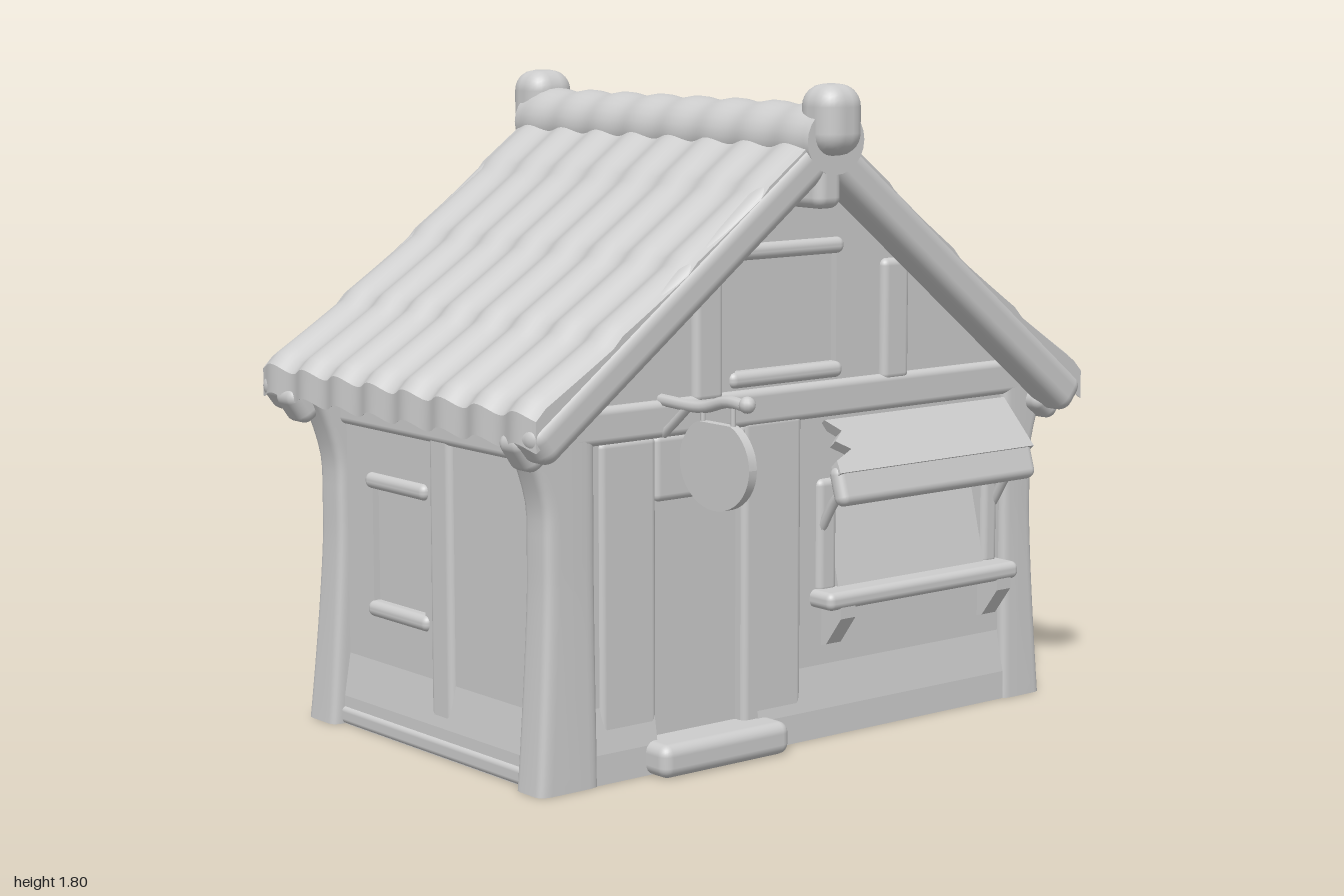
import * as THREE from 'three';
import { RoundedBoxGeometry } from 'three/addons/geometries/RoundedBoxGeometry.js';

const mat = new THREE.MeshStandardMaterial({ color: 0xcccccc, side: THREE.DoubleSide });

function add(parent, name, geometry, x = 0, y = 0, z = 0) {
  const m = new THREE.Mesh(geometry, mat);
  m.name = name;
  m.position.set(x, y, z);
  parent.add(m);
  return m;
}

// Soft-edged box given by its min and max along each axis
function block(parent, name, x0, x1, y0, y1, z0, z1, r = 0.02) {
  const w = x1 - x0, h = y1 - y0, d = z1 - z0;
  const g = new RoundedBoxGeometry(w, h, d, 3, Math.min(r, w / 2.1, h / 2.1, d / 2.1));
  return add(parent, name, g, (x0 + x1) / 2, (y0 + y1) / 2, (z0 + z1) / 2);
}

// Move each vertex by a rule, then smooth
function reshape(g, rule) {
  const p = g.attributes.position, v = new THREE.Vector3();
  for (let i = 0; i < p.count; i++) {
    rule(v.fromBufferAttribute(p, i));
    p.setXYZ(i, v.x, v.y, v.z);
  }
  g.computeVertexNormals();
  return g;
}

const polygon = (pts) => new THREE.Shape(pts.map(([x, y]) => new THREE.Vector2(x, y)));
const rect = (x0, x1, y0, y1) => polygon([[x0, y0], [x1, y0], [x1, y1], [x0, y1]]);
const extrude = (shape, depth) => new THREE.ExtrudeGeometry(shape, { depth, bevelEnabled: false });

// Profile in (z, y) swept along x from x0 to x1
function sweepX(parent, name, profile, x0, x1) {
  const g = extrude(polygon(profile.map(([z, y]) => [-z, y])), x1 - x0);
  add(parent, name, g, x0, 0, 0).rotation.y = Math.PI / 2;
}

// Wall facing local +z with openings, raised beams, windows and sloping feet
function wall(parent, name, { outline, holes = [], windows = [], beams = [], skirts = [] }) {
  const g = new THREE.Group();
  g.name = name;
  const shape = polygon(outline);
  for (const h of [...holes, ...windows]) shape.holes.push(rect(...h));
  add(g, 'wallPanel', extrude(shape, 0.06), 0, 0, -0.06);
  for (const [x0, x1, y0, y1, out = 0.02] of beams) block(g, 'beam', x0, x1, y0, y1, -0.04, out);
  for (const [x0, x1] of skirts) {
    sweepX(g, 'wallFoot', [[-0.03, 0], [0.022, 0], [0.02, 0.08], [0, 0.2], [-0.03, 0.2]], x0, x1);
  }
  for (const [x0, x1, y0, y1] of windows) {
    block(g, 'windowPane', x0 - 0.01, x1 + 0.01, y0 - 0.01, y1 + 0.01, -0.07, -0.02, 0.01);
    block(g, 'windowSill', x0 - 0.02, x1 + 0.02, y0 - 0.025, y0 + 0.02, -0.04, 0.014);
    block(g, 'windowHead', x0 - 0.02, x1 + 0.02, y1 - 0.015, y1 + 0.03, -0.04, 0.018);
  }
  parent.add(g);
  return g;
}

// Rounded-square corner post whose outer faces flare at foot and head
function cornerPost(parent, name, sx, sz, w, d, x, z) {
  const g = reshape(new THREE.CylinderGeometry(1, 1, 0.95, 32, 24), (v) => {
    const y = v.y + 0.475;
    const sq = (c) => Math.sign(c) * Math.pow(Math.abs(c), 0.4);
    const foot = 0.035 * Math.pow(Math.max(0, 1 - y / 0.55), 1.3);
    const head = 0.08 * Math.pow(Math.max(0, (y - 0.72) / 0.23), 1.5);
    const outX = v.x * sx > 0.01 ? 1 : 0, outZ = v.z * sz > 0.01 ? 1 : 0;
    v.x = sq(v.x) * w / 2 + sx * outX * (foot + head);
    v.z = sq(v.z) * d / 2 + sz * outZ * foot * (sz > 0 ? 0.3 : 0.8);
  });
  add(parent, name, g, x, 0.475, z);
}

// Corrugated, slightly sagging roof slope; side is +1 or -1
function roofSlope(parent, side) {
  const g = reshape(new THREE.BoxGeometry(1, 1, 1, 32, 1, 96), (v) => {
    const t = 0.5 + side * v.x, z = v.z * 1.28 - 0.08;
    const wave = Math.cos((z - 0.49) * 2 * Math.PI / 0.163);
    const row = ((t * 4) % 1) * 0.012;
    v.x = side * t * (0.978 + 0.009 * wave);
    v.y = 1.65 - (side > 0 ? 0.74 : 0.7) * t + 0.011 * wave - 0.02 * Math.sin(Math.PI * t)
      + (v.y > 0 ? 0.055 + row : -0.025);
    v.z = z;
  });
  add(parent, side > 0 ? 'leftRoofSlope' : 'rightRoofSlope', g);
}

function tube(parent, name, pts, r) {
  const curve = new THREE.CatmullRomCurve3(pts.map((p) => new THREE.Vector3(...p)));
  return add(parent, name, new THREE.TubeGeometry(curve, 16, r, 8));
}

export function createModel() {
  const house = new THREE.Group();
  house.name = 'cottage';

  // Solid core behind the openings, and the floor
  const core = polygon([[-0.79, 0.01], [0.8, 0.01], [0.8, 0.92], [0, 1.56], [-0.79, 0.92]]);
  add(house, 'core', extrude(core, 0.89), 0, 0, -0.56);
  block(house, 'floor', -0.86, 0.89, 0, 0.05, -0.63, 0.45, 0.015);

  // Front and back gable walls
  const gable = [[-0.84, 0], [0.86, 0], [0.86, 0.96], [0, 1.63], [-0.84, 1.0]];
  wall(house, 'frontWall', {
    outline: gable,
    holes: [[-0.49, -0.2, 0.06, 0.72], [0.14, 0.7, 0.42, 0.72]],
    windows: [[-0.22, 0.14, 1.02, 1.35]],
    beams: [[-0.84, 0.88, 0.89, 0.99], [-0.37, -0.27, 0.97, 1.34], [0.3, 0.4, 0.97, 1.31],
      [-0.2, 0.01, 0.03, 0.91, 0.015], [-0.68, -0.49, 0.03, 0.9, 0.01], [-0.5, -0.18, 0.72, 0.9, 0.012],
      [0.07, 0.14, 0.4, 0.72, 0.015], [0.7, 0.76, 0.4, 0.72, 0.015]],
    skirts: [[-0.8, -0.5], [-0.15, 0.87]],
  }).position.z = 0.43;
  const back = wall(house, 'backWall', {
    outline: gable.map(([x, y]) => [-x, y]).reverse(),
    windows: [[-0.57, -0.16, 0.33, 0.7], [0.13, 0.55, 0.33, 0.7], [-0.17, 0.17, 1.03, 1.36]],
    beams: [[-0.88, 0.84, 0.88, 0.99], [-0.07, 0.05, 0.03, 0.91], [-0.37, -0.27, 0.97, 1.32],
      [0.27, 0.37, 0.97, 1.34]],
    skirts: [[-0.86, 0.84]],
  });
  back.position.z = -0.6;
  back.rotation.y = Math.PI;

  // Side walls, each with a window towards the back
  for (const s of [1, -1]) {
    const span = (a, b) => (s > 0 ? [a, b] : [-b, -a]);
    const side = wall(house, s > 0 ? 'leftWall' : 'rightWall', {
      outline: [[-0.43, 0], [0.6, 0], [0.6, 0.97], [-0.43, 0.97]].map(([x, y]) => [s * x, y]),
      windows: [[...span(0.14, 0.39), 0.35, 0.7]],
      beams: [[...span(0.0, 0.1), 0.05, 0.9, 0.015], [...span(-0.4, 0.57), 0.85, 0.95]],
      skirts: [span(-0.4, 0.57)],
    });
    side.position.x = s > 0 ? 0.86 : -0.83;
    side.rotation.y = s * Math.PI / 2;
  }

  // Corner posts
  cornerPost(house, 'frontLeftPost', 1, 1, 0.12, 0.11, 0.835, 0.395);
  cornerPost(house, 'frontRightPost', -1, 1, 0.16, 0.11, -0.775, 0.395);
  cornerPost(house, 'backLeftPost', 1, -1, 0.12, 0.11, 0.835, -0.57);
  cornerPost(house, 'backRightPost', -1, -1, 0.13, 0.11, -0.79, -0.57);

  // Roof slopes with rafters along the gable edges and eave blocks on the posts
  for (const s of [1, -1]) {
    roofSlope(house, s);
    const drop = s > 0 ? 0.765 : 0.72, angle = Math.atan2(drop, 0.96);
    for (const z of [0.51, -0.67]) {
      const rafter = add(house, 'gableRafter', new RoundedBoxGeometry(1.21, 0.115, 0.12, 4, 0.04),
        s * 0.48, 1.633 - drop / 2, z);
      rafter.rotation.z = -s * angle;
    }
    const eave = s > 0 ? 0.82 : 0.86;
    for (const z of [0.45, -0.605]) {
      const b = block(house, 'eaveBlock', s * 0.92 - 0.05, s * 0.92 + 0.05, eave, eave + 0.11, z - 0.05, z + 0.05, 0.03);
      b.rotation.z = -s * 0.6;
    }
  }

  // Ridge roll, its end caps and the purlin below
  const ridge = reshape(new THREE.CylinderGeometry(0.1, 0.1, 1.3, 24, 80), (v) => {
    const k = 1 + 0.045 * Math.cos((v.y - 0.57) * 2 * Math.PI / 0.163);
    v.x *= k * 1.05;
    v.z *= 0.95 * k;
  });
  add(house, 'ridgeRoll', ridge, 0.01, 1.65, -0.08).rotation.x = Math.PI / 2;
  block(house, 'frontRidgeCap', -0.065, 0.08, 1.61, 1.8, 0.48, 0.625, 0.06);
  block(house, 'backRidgeCap', -0.07, 0.085, 1.61, 1.8, -0.795, -0.65, 0.06);
  block(house, 'ridgePurlin', -0.05, 0.04, 1.47, 1.64, -0.73, 0.57, 0.03);

  // Door and step
  block(house, 'door', -0.5, -0.19, 0.05, 0.73, 0.35, 0.41, 0.01);
  block(house, 'doorStep', -0.54, -0.1, 0, 0.09, 0.38, 0.53, 0.03);

  // Stall with a slanted display, counter and brackets
  sweepX(house, 'stallDisplay', [[0.32, 0.4], [0.45, 0.4], [0.37, 0.72], [0.32, 0.72]], 0.14, 0.7);
  block(house, 'counter', 0.05, 0.78, 0.365, 0.415, 0.38, 0.515, 0.02);
  for (const x of [0.12, 0.72]) {
    sweepX(house, 'counterBracket', [[0.41, 0.25], [0.45, 0.26], [0.51, 0.34], [0.51, 0.38], [0.41, 0.38]],
      x - 0.027, x + 0.027);
  }

  // Awning with a ragged end, a rolled hem and struts
  const cloth = polygon([[0.05, 0], [0.79, 0], [0.78, 0.17], [0.09, 0.17], [0.13, 0.13], [0.09, 0.1],
    [0.13, 0.07], [0.06, 0.04]]);
  add(house, 'awning', extrude(cloth, 0.03), 0, 0.735, 0.53).rotation.x = -0.72;
  const hem = block(house, 'awningHem', 0.045, 0.79, 0.66, 0.77, 0.51, 0.56, 0.024);
  hem.rotation.x = -0.3;
  for (const x of [0.09, 0.75]) {
    tube(house, 'awningStrut', [[x, 0.72, 0.55], [x, 0.67, 0.49], [x, 0.58, 0.43]], 0.014);
  }

  // Hanging sign on its arm
  tube(house, 'signArm', [[-0.47, 0.99, 0.42], [-0.47, 0.99, 0.6], [-0.47, 1.015, 0.7], [-0.47, 1.01, 0.78]], 0.016);
  tube(house, 'signBrace', [[-0.47, 0.9, 0.44], [-0.47, 0.94, 0.49], [-0.47, 0.99, 0.55]], 0.012);
  add(house, 'signFinial', new THREE.SphereGeometry(0.022, 12, 8), -0.47, 1.015, 0.775);
  for (const z of [0.6, 0.72]) tube(house, 'signHanger', [[-0.47, 1.0, z], [-0.47, 0.93, z]], 0.007);
  const board = reshape(new THREE.CylinderGeometry(1, 1, 0.026, 40), (v) => {
    v.x = Math.min(v.x * 0.12, 0.105);
    v.z *= 0.138;
  });
  add(house, 'signBoard', board, -0.47, 0.85, 0.66).rotation.z = Math.PI / 2;
  return house;
}
